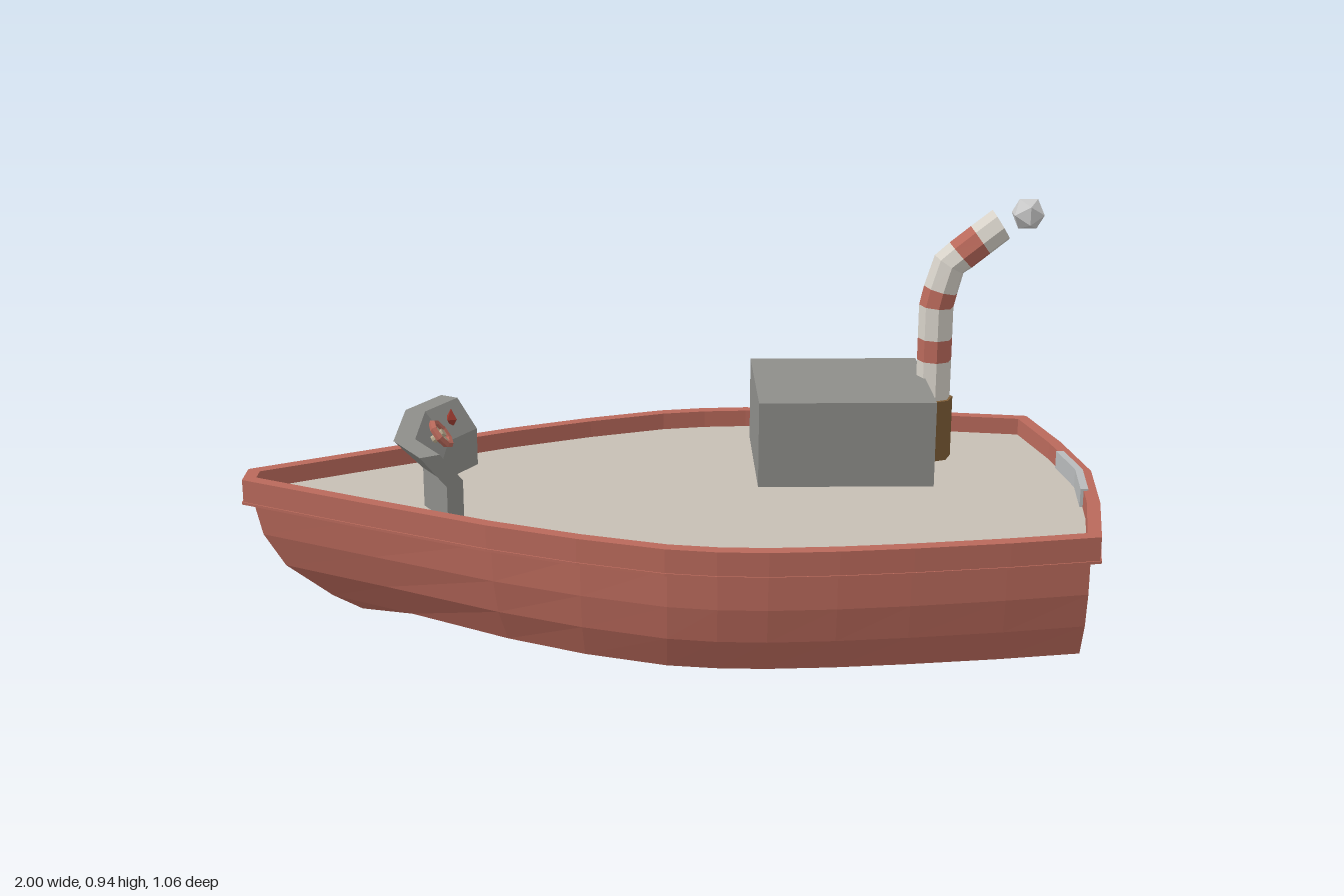
import * as THREE from 'three';

const mat = (color, side = THREE.FrontSide) =>
  new THREE.MeshStandardMaterial({ color, flatShading: true, side });
const RED = 0xb9695b, GREY = 0x8e8e8a, PALE = 0xd6d1c8, STEEL = 0xb8babb;

// Half outline of the gunwale from bow to stern centre, as [x, z]
const HALF = [[-1, 0.04], [-0.7, 0.2], [-0.41, 0.35], [-0.21, 0.435], [-0.02, 0.5], [0.09, 0.519],
  [0.2, 0.525], [0.35, 0.518], [0.51, 0.502], [0.72, 0.474], [0.92, 0.44], [0.965, 0.22], [0.992, 0]];

// Full outline moved inwards by d
function outline(d) {
  const ring = [...HALF, ...HALF.slice(0, -1).reverse().map(([x, z]) => [x, -z])];
  const n = ring.length;
  return ring.map(([x, z], i) => {
    const p = ring[(i + n - 1) % n], q = ring[(i + 1) % n];
    const a = new THREE.Vector2(z - p[1], p[0] - x).normalize();
    const b = new THREE.Vector2(q[1] - z, x - q[0]).normalize();
    const m = a.clone().add(b).normalize();
    const k = d / Math.max(0.5, m.dot(a));
    return [x + m.x * k, z + m.y * k];
  });
}

// Skin over closed rings of [x, y, z]; optional end caps
function loft(rings, caps = true) {
  const n = rings[0].length, pos = rings.flat(2), idx = [];
  for (let l = 0; l < rings.length - 1; l++) {
    for (let i = 0; i < n; i++) {
      const a = l * n + i, b = l * n + (i + 1) % n;
      idx.push(a, a + n, b, b, a + n, b + n);
    }
  }
  if (caps) {
    [0, rings.length - 1].forEach((l, end) => {
      const c = pos.length / 3;
      for (let k = 0; k < 3; k++) pos.push(rings[l].reduce((s, p) => s + p[k], 0) / n);
      for (let i = 0; i < n; i++) {
        const a = l * n + i, b = l * n + (i + 1) % n;
        end ? idx.push(c, b, a) : idx.push(c, a, b);
      }
    });
  }
  const g = new THREE.BufferGeometry();
  g.setAttribute('position', new THREE.Float32BufferAttribute(pos, 3));
  g.setIndex(idx);
  g.computeVertexNormals();
  return g;
}

export function createModel() {
  const model = new THREE.Group();
  model.name = 'boat';
  const add = (name, geo, material, x = 0, y = 0, z = 0, parent = model) => {
    const m = new THREE.Mesh(geo, material);
    m.name = name;
    m.position.set(x, y, z);
    parent.add(m);
    return m;
  };
  const red = mat(RED), grey = mat(GREY), steel = mat(STEEL);

  // Hull: outline narrowed and raked at the bow, level by level
  // [y, width scale, bow rake, bow narrowing, stern rake]
  const levels = [[0.288, 1, 0, 0, 0], [0.2, 1, 0.02, 0.06, 0], [0.12, 0.97, 0.07, 0.18, 0],
    [0.04, 0.89, 0.18, 0.4, 0], [0, 0.18, 0.25, 0.5, 0.025]];
  const base = outline(0.02);
  add('hull', loft(levels.map(([y, w, rake, narrow, stern]) => base.map(([x, z]) => {
    const f = Math.max(0, -x) ** 2;
    return [x + rake * f - stern * Math.max(0, x), y, z * w * (1 - narrow * f)];
  }))), red);

  // Gunwale rim and the thin lip beneath it
  const toShape = (pts, Type = THREE.Shape) => new Type(pts.map(([x, z]) => new THREE.Vector2(x, -z)));
  const slab = (pts, hole, y, h) => {
    const s = toShape(pts);
    if (hole) s.holes.push(toShape(hole, THREE.Path));
    return new THREE.ExtrudeGeometry(s, { depth: h, bevelEnabled: false })
      .rotateX(-Math.PI / 2).translate(0, y, 0);
  };
  add('gunwale', slab(outline(0), outline(0.03), 0.285, 0.055), red);
  add('gunwaleLip', slab(outline(-0.003), outline(0.03), 0.28, 0.006), red);
  add('deck', slab(outline(0.025), null, 0.286, 0.012), mat(0xc6beb4));

  // Stern plate and the curved strip inside the stern
  const plate = new THREE.BoxGeometry(0.02, 0.23, 0.14);
  const pp = plate.attributes.position;
  for (let i = 0; i < pp.count; i++) if (pp.getY(i) < 0) pp.setZ(i, pp.getZ(i) * 0.9);
  add('sternPlate', plate, steel, 0.97, 0.16, 0);
  const strip = [-0.14, -0.07, 0, 0.07, 0.14].map(z => {
    const x = 0.966 - 0.12 * Math.abs(z);
    return [[x - 0.012, 0.3, z], [x - 0.012, 0.344, z], [x + 0.006, 0.344, z], [x + 0.006, 0.3, z]];
  });
  add('sternStrip', loft(strip), steel);

  // Cabin
  add('cabin', new THREE.BoxGeometry(0.417, 0.215, 0.39), grey, 0.415, 0.3975, -0.21);

  // Chimney socket and bent striped pipe
  add('chimneyBase', new THREE.CylinderGeometry(0.057, 0.057, 0.16, 8).rotateY(Math.PI / 2),
    mat(0x7d5c36), 0.64, 0.37, -0.2525);
  const chimney = new THREE.Group();
  chimney.name = 'chimney';
  model.add(chimney);
  // [x, y, tilt in degrees]
  const path = [[0.648, 0.3, 0], [0.648, 0.545, 0], [0.648, 0.6, 0], [0.648, 0.68, -4], [0.657, 0.72, -14],
    [0.675, 0.783, -32], [0.702, 0.805, -48], [0.748, 0.842, -54], [0.796, 0.88, -58]];
  const stripes = [0, 1, 0, 1, 0, 0, 1, 0];
  const pipeRing = ([x, y, deg]) => Array.from({ length: 8 }, (_, i) => {
    const t = i * Math.PI / 4, a = deg * Math.PI / 180, r = 0.042;
    return [x + r * Math.cos(t) * Math.cos(a), y + r * Math.cos(t) * Math.sin(a), -0.2525 + 0.045 * Math.sin(t)];
  });
  const pipeMats = [mat(PALE, THREE.DoubleSide), mat(RED, THREE.DoubleSide)];
  stripes.forEach((s, i) => add(s ? 'redBand' : 'paleBand',
    loft([pipeRing(path[i]), pipeRing(path[i + 1])], false), pipeMats[s], 0, 0, 0, chimney));
  add('smokePuff', new THREE.IcosahedronGeometry(0.042, 0), mat(0xc2c4c5), 0.86, 0.905, -0.255);

  // Angled helm console: one section swept through four stations
  const section = [[0.063, 0.29], [0.063, 0.39], [0, 0.46], [0.048, 0.46], [0.103, 0.39], [0.103, 0.29]];
  // [x, z, section direction x, z]
  const stations = [[-0.56, -0.245, 0.866, 0.5], [-0.633, -0.12, 1, 0.268],
    [-0.633, 0.12, 1, -0.268], [-0.56, 0.245, 0.866, -0.5]];
  add('helmConsole', loft(stations.map(([x, z, dx, dz]) =>
    section.map(([s, y]) => [x + s * dx, y, z + s * dz]))), grey);

  // Steering wheel lying parallel to the sloped panel
  const wheel = new THREE.Group();
  wheel.name = 'steeringWheel';
  wheel.position.set(-0.537, 0.438, 0);
  wheel.rotation.set(0, Math.PI / 2, 0);
  wheel.rotateX(-0.66);
  model.add(wheel);
  add('wheelRim', new THREE.TorusGeometry(0.032, 0.009, 5, 8), red, 0, 0, 0, wheel);
  const wood = mat(0xb7a88c);
  for (let i = 0; i < 2; i++) {
    add('wheelSpoke', new THREE.BoxGeometry(0.06, 0.007, 0.006), wood, 0, 0, 0, wheel).rotation.z = i * Math.PI / 2;
  }
  add('wheelHub', new THREE.CylinderGeometry(0.01, 0.01, 0.04, 8).rotateX(Math.PI / 2), wood, 0, 0, -0.012, wheel);

  // Small control knob on the right wing of the console
  const knob = add('controlKnob', new THREE.OctahedronGeometry(0.02, 0), mat(0x9c3b30), -0.527, 0.43, -0.145);
  knob.scale.set(0.8, 1.3, 0.8);
  knob.rotation.y = -Math.PI / 6;

  return model;
}
